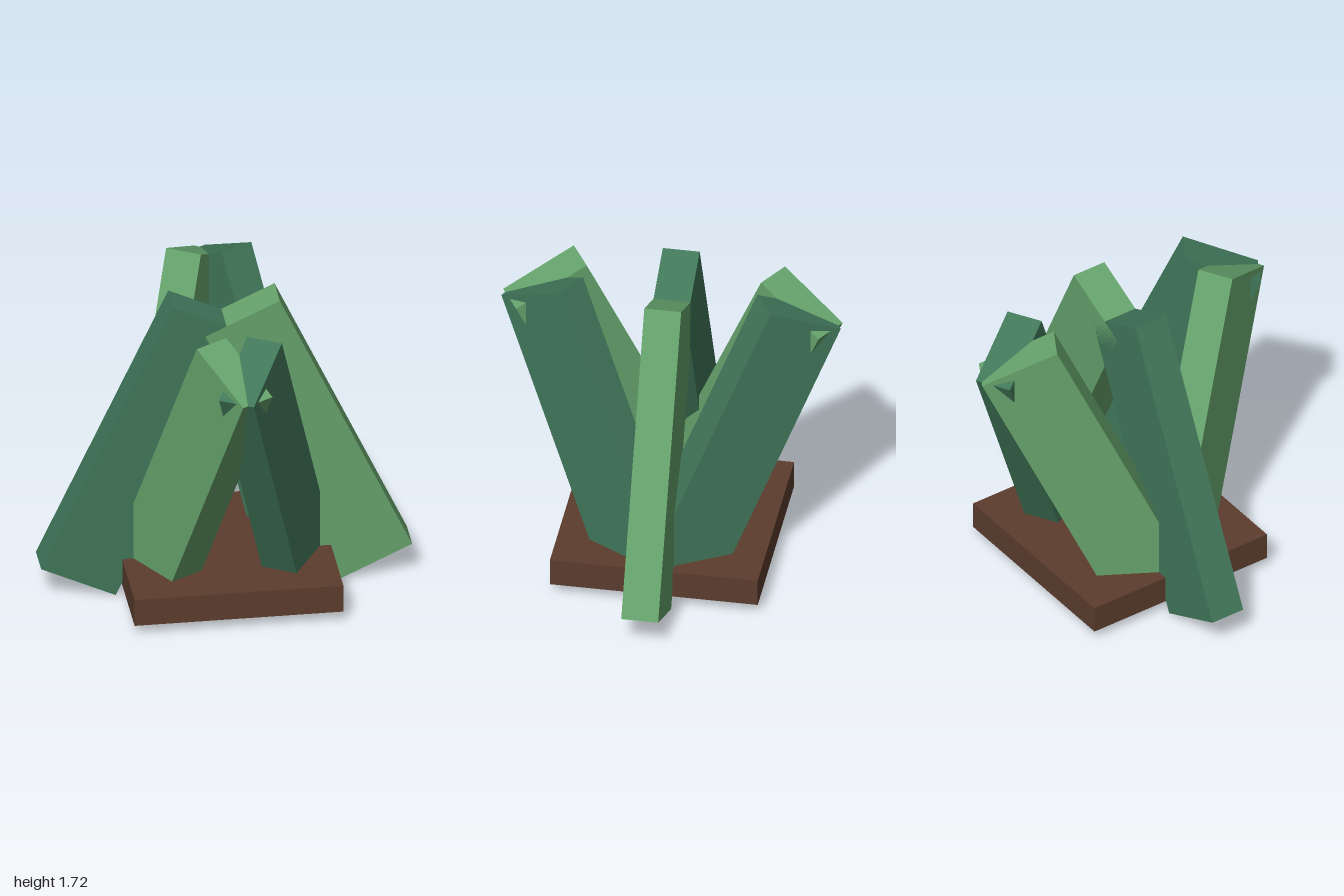
import * as THREE from 'three';

export function createModel() {
  const model = new THREE.Group();
  model.name = 'plantedTree';
  const material = (color) => new THREE.MeshStandardMaterial({ color, flatShading: true });
  const lightGreen = material(0x66a36c);
  const deepGreen = material(0x41775a);
  const brown = material(0x5c3d2e);

  // Square base slab
  const base = new THREE.Mesh(new THREE.BoxGeometry(1.126, 0.157, 1.126), brown);
  base.name = 'base';
  base.position.y = 0.137;
  model.add(base);

  // Leaning slabs: each tilts towards its pivot, then turns about the vertical
  const slab = new THREE.BoxGeometry(0.443, 1.689, 0.2);
  const addLeaf = (name, degrees, z, mat) => {
    const pivot = new THREE.Group();
    pivot.name = name;
    pivot.position.z = z;
    pivot.rotation.y = THREE.MathUtils.degToRad(degrees);
    const leaf = new THREE.Mesh(slab, mat);
    leaf.name = name + 'Slab';
    leaf.position.set(-0.4425, 0.859, 0);
    leaf.rotation.z = -THREE.MathUtils.degToRad(25);
    pivot.add(leaf);
    model.add(pivot);
  };

  // Middle pair crossing at the top
  addLeaf('rightLeaf', 0, 0, deepGreen);
  addLeaf('leftLeaf', 180, 0, lightGreen);

  // Front and back pairs, meeting in a point away from the centre
  for (const [side, s] of [['front', 1], ['back', -1]]) {
    addLeaf(side + 'RightLeaf', -60 * s, 0.77 * s, lightGreen);
    addLeaf(side + 'LeftLeaf', -120 * s, 0.77 * s, deepGreen);
  }
  return model;
}
